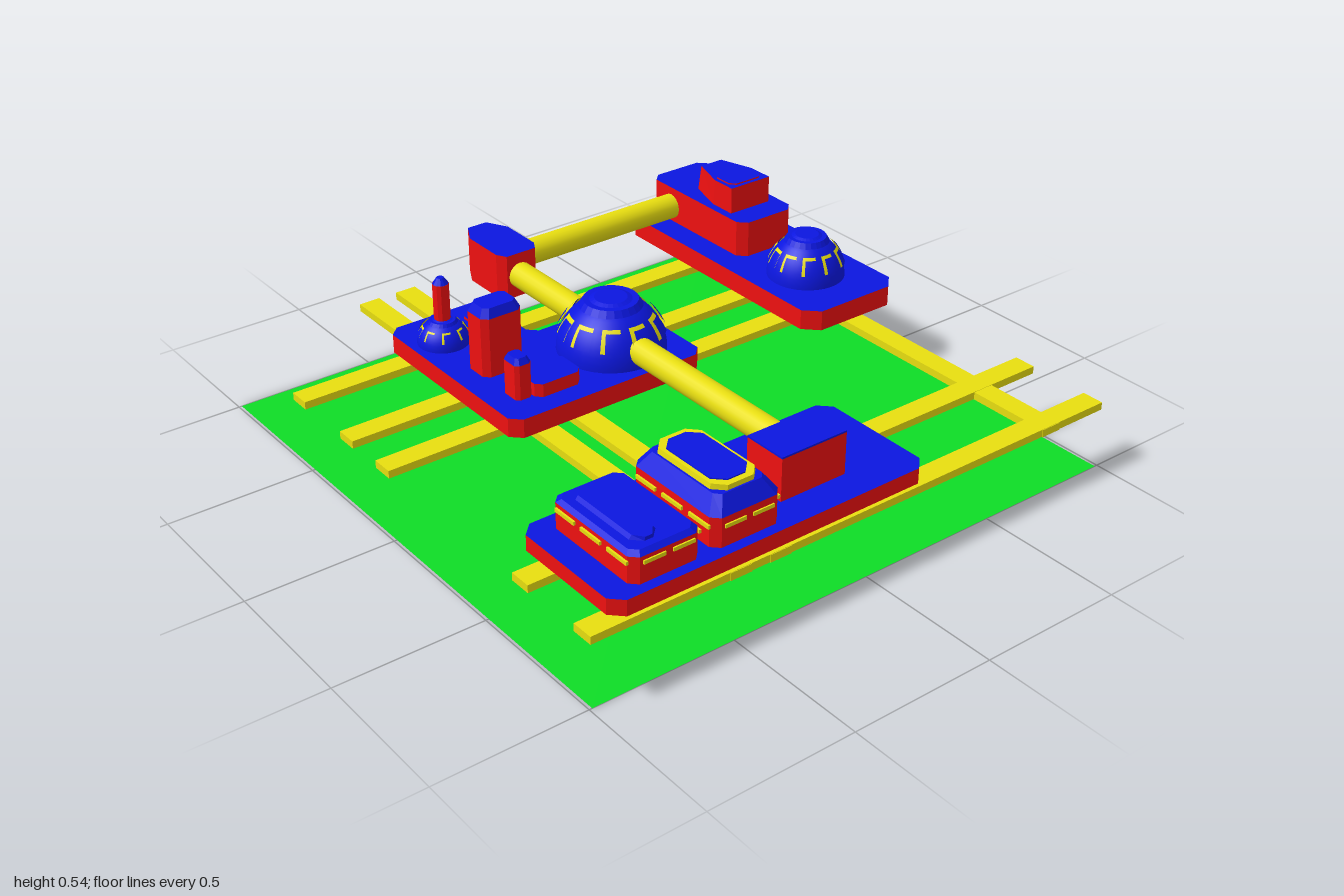
import * as THREE from 'three';

const mat = (color) => new THREE.MeshStandardMaterial({ color, flatShading: true, side: THREE.DoubleSide });
const blue = mat(0x0b16e0), red = mat(0xf01010), yellow = mat(0xe8de10), green = mat(0x0edc26);
const smooth = (color) => new THREE.MeshStandardMaterial({ color, side: THREE.DoubleSide });
const smoothBlue = smooth(0x0b16e0), smoothYellow = smooth(0xe8de10);

export function createModel() {
  const model = new THREE.Group();
  const add = (parent, name, geometry, material) => {
    const mesh = new THREE.Mesh(geometry, material);
    mesh.name = name;
    parent.add(mesh);
    return mesh;
  };

  // Rectangle outline in x/z with cut corners
  const rect = (x0, x1, z0, z1, c = 0.03) => [
    [x0 + c, z0], [x1 - c, z0], [x1, z0 + c], [x1, z1 - c],
    [x1 - c, z1], [x0 + c, z1], [x0, z1 - c], [x0, z0 + c],
  ];

  // Upright prism over an outline; the top can shrink to make a sloped roof
  const prism = (name, outline, y0, y1, { cap = blue, side = red, sx = 1, sz = 1, anchorZ } = {}) => {
    const shape = new THREE.Shape(outline.map(([x, z]) => new THREE.Vector2(x, -z)));
    const g = new THREE.ExtrudeGeometry(shape, { depth: y1 - y0, bevelEnabled: false });
    g.rotateX(-Math.PI / 2).translate(0, y0, 0);
    g.computeBoundingBox();
    const c = g.boundingBox.getCenter(new THREE.Vector3());
    const cz = anchorZ ?? c.z, p = g.attributes.position;
    for (let i = 0; i < p.count; i++) {
      if (p.getY(i) < (y0 + y1) / 2) continue;
      p.setX(i, c.x + (p.getX(i) - c.x) * sx);
      p.setZ(i, cz + (p.getZ(i) - cz) * sz);
    }
    g.computeVertexNormals();
    return add(model, name, g, [cap, side]);
  };

  const box = (name, x0, x1, y0, y1, z0, z1, material) =>
    add(model, name, new THREE.BoxGeometry(x1 - x0, y1 - y0, z1 - z0), material)
      .position.set((x0 + x1) / 2, (y0 + y1) / 2, (z0 + z1) / 2);

  // Dome with a ring of raised, framed windows and a stepped top plate
  const dome = (name, x, y, z, r, h, count) => {
    const group = new THREE.Group();
    group.name = name;
    group.position.set(x, y, z);
    group.scale.set(r, h, r);
    add(group, 'domeShell', new THREE.SphereGeometry(1, 32, 12, 0, Math.PI * 2, 0, Math.PI / 2), smoothBlue);
    const patch = (part, radius, a, width, t0, t1, m) =>
      add(group, part, new THREE.SphereGeometry(radius, 4, 4, a - width / 2, width, t0, t1 - t0), m);
    for (let i = 0; i < count; i++) {
      const a = (i + 0.5) / count * Math.PI * 2;
      patch('windowFrame', 1.035, a, 0.42, 0.8, 1.22, smoothYellow);
      patch('windowPane', 1.05, a + 0.05, 0.34, 0.88, 1.22, smoothBlue);
    }
    const plate = add(group, 'domeCap', new THREE.CylinderGeometry(0.5, 0.58, 0.12, 24), blue);
    plate.position.y = 0.91;
    const knob = add(group, 'domeCrown', new THREE.CylinderGeometry(0.3, 0.4, 0.04, 24), blue);
    knob.position.y = 0.985;
    model.add(group);
  };

  const tube = (name, a, b, r) => {
    const from = new THREE.Vector3(...a), to = new THREE.Vector3(...b);
    const mesh = add(model, name, new THREE.CylinderGeometry(r, r, from.distanceTo(to), 20), smoothYellow);
    mesh.position.copy(from).lerp(to, 0.5);
    mesh.quaternion.setFromUnitVectors(new THREE.Vector3(0, 1, 0), to.clone().sub(from).normalize());
  };

  // Ground sheet
  add(model, 'ground', new THREE.PlaneGeometry(1.98, 2).rotateX(-Math.PI / 2), green);

  // Lattice of rails above the ground
  for (const x of [-0.478, -0.335, 0.758]) box('lengthRail', x - 0.038, x + 0.038, 0.208, 0.234, -1, 1, yellow);
  for (const z of [-0.565, -0.27, -0.058, 0.67, 0.96])
    box('crossRail', -0.99, 0.99, 0.209, 0.235, z - 0.038, z + 0.038, yellow);

  // Three platforms
  prism('frontPlatform', rect(-0.9, 0.245, 0.53, 0.985, 0.04), 0.235, 0.288);
  prism('sidePlatform', rect(0.56, 0.96, -0.91, 0.105, 0.05), 0.235, 0.306);
  prism('middlePlatform', [
    [-0.565, -0.67], [-0.27, -0.67], [-0.235, -0.635], [-0.235, -0.4], [-0.205, -0.37], [0.1, -0.37],
    [0.135, -0.335], [0.135, 0.035], [0.1, 0.07], [-0.565, 0.07], [-0.6, 0.035], [-0.6, -0.635],
  ], 0.235, 0.3);

  // Domes
  dome('mainDome', -0.08, 0.3, -0.14, 0.18, 0.18, 10);
  dome('sideDome', 0.755, 0.3, -0.145, 0.135, 0.155, 10);
  dome('smallDome', -0.49, 0.3, -0.5, 0.086, 0.085, 8);

  // Mast on the small dome
  const mast = add(model, 'mast', new THREE.CylinderGeometry(0.027, 0.027, 0.14, 12), red);
  mast.position.set(-0.49, 0.44, -0.5);
  const tip = add(model, 'mastTip', new THREE.CylinderGeometry(0.012, 0.027, 0.022, 12), blue);
  tip.position.set(-0.49, 0.52, -0.5);
  prism('domePorch', rect(-0.43, -0.3, -0.54, -0.455, 0.015), 0.3, 0.345);
  prism('porchStep', rect(-0.4, -0.31, -0.525, -0.47, 0.01), 0.345, 0.355);

  // Towers and low blocks on the middle platform
  prism('tallTower', rect(-0.52, -0.37, -0.315, -0.205, 0.02), 0.3, 0.505);
  prism('tallTowerRoof', rect(-0.52, -0.37, -0.315, -0.205, 0.02), 0.505, 0.535, { side: blue, sx: 0.8, sz: 0.75 });
  prism('shortTower', rect(-0.52, -0.46, -0.11, -0.03, 0.012), 0.3, 0.42);
  prism('shortTowerRoof', rect(-0.52, -0.46, -0.11, -0.03, 0.012), 0.42, 0.44, { side: blue, sx: 0.7, sz: 0.7 });
  prism('lowBlock', rect(-0.46, -0.29, -0.135, -0.005, 0.02), 0.3, 0.345);

  // Large block with a wedge-shaped upper cabin on the side platform
  prism('largeBlock', rect(0.65, 0.89, -0.88, -0.365, 0.03), 0.306, 0.435);
  prism('upperCabin', [
    [0.72, -0.695], [0.81, -0.695], [0.85, -0.56], [0.85, -0.46], [0.68, -0.46], [0.68, -0.56],
  ], 0.435, 0.53, { sz: 0.93, anchorZ: -0.46 });
  prism('cabinPanel', rect(0.695, 0.835, -0.58, -0.475, 0.02), 0.53, 0.535);

  // Corner junction and connecting tubes
  prism('junction', [
    [-0.115, -0.925], [-0.04, -0.925], [0, -0.85], [0, -0.69], [-0.02, -0.655],
    [-0.135, -0.655], [-0.155, -0.69], [-0.155, -0.85],
  ], 0.275, 0.435);
  tube('frontTube', [-0.082, 0.353, 0.73], [-0.082, 0.353, -0.14], 0.045);
  tube('backTube', [-0.082, 0.353, -0.14], [-0.082, 0.353, -0.67], 0.045);
  tube('crossTube', [-0.01, 0.363, -0.763], [0.66, 0.363, -0.763], 0.045);

  // Tube entrance on the front platform
  box('tubeEntranceWalls', -0.232, 0.012, 0.285, 0.43, 0.722, 0.875, red);
  box('tubeEntranceRoof', -0.232, 0.012, 0.43, 0.436, 0.722, 0.875, blue);

  // Two halls on the front platform
  prism('lowHall', rect(-0.815, -0.575, 0.57, 0.95, 0.025), 0.285, 0.375);
  prism('lowHallRoof', rect(-0.815, -0.575, 0.57, 0.95, 0.025), 0.375, 0.388, { side: blue, sx: 0.9, sz: 0.92 });
  prism('lowHallRidge', rect(-0.775, -0.685, 0.605, 0.91, 0.03), 0.388, 0.4, { side: blue, sx: 0.8 });
  prism('highHall', rect(-0.535, -0.29, 0.57, 0.95, 0.025), 0.285, 0.385);
  prism('highHallRoof', rect(-0.535, -0.29, 0.57, 0.95, 0.025), 0.385, 0.435, { side: blue, sx: 0.72, sz: 0.82 });
  prism('highHallRidge', rect(-0.495, -0.33, 0.605, 0.91, 0.035), 0.43, 0.452, { cap: yellow, side: yellow, sx: 0.95 });
  prism('highHallSkylight', rect(-0.478, -0.345, 0.625, 0.89, 0.035), 0.452, 0.456, { side: blue });

  // Window strips along the halls
  for (const x of [-0.818, -0.57, -0.538, -0.288])
    for (const z of [0.6, 0.72, 0.84]) box('windowStrip', x - 0.004, x + 0.004, 0.35, 0.362, z, z + 0.09, yellow);
  for (const x of [-0.78, -0.68, -0.5, -0.4])
    for (const z of [0.569, 0.951]) box('endWindowStrip', x, x + 0.075, 0.35, 0.362, z - 0.004, z + 0.004, yellow);

  return model;
}
